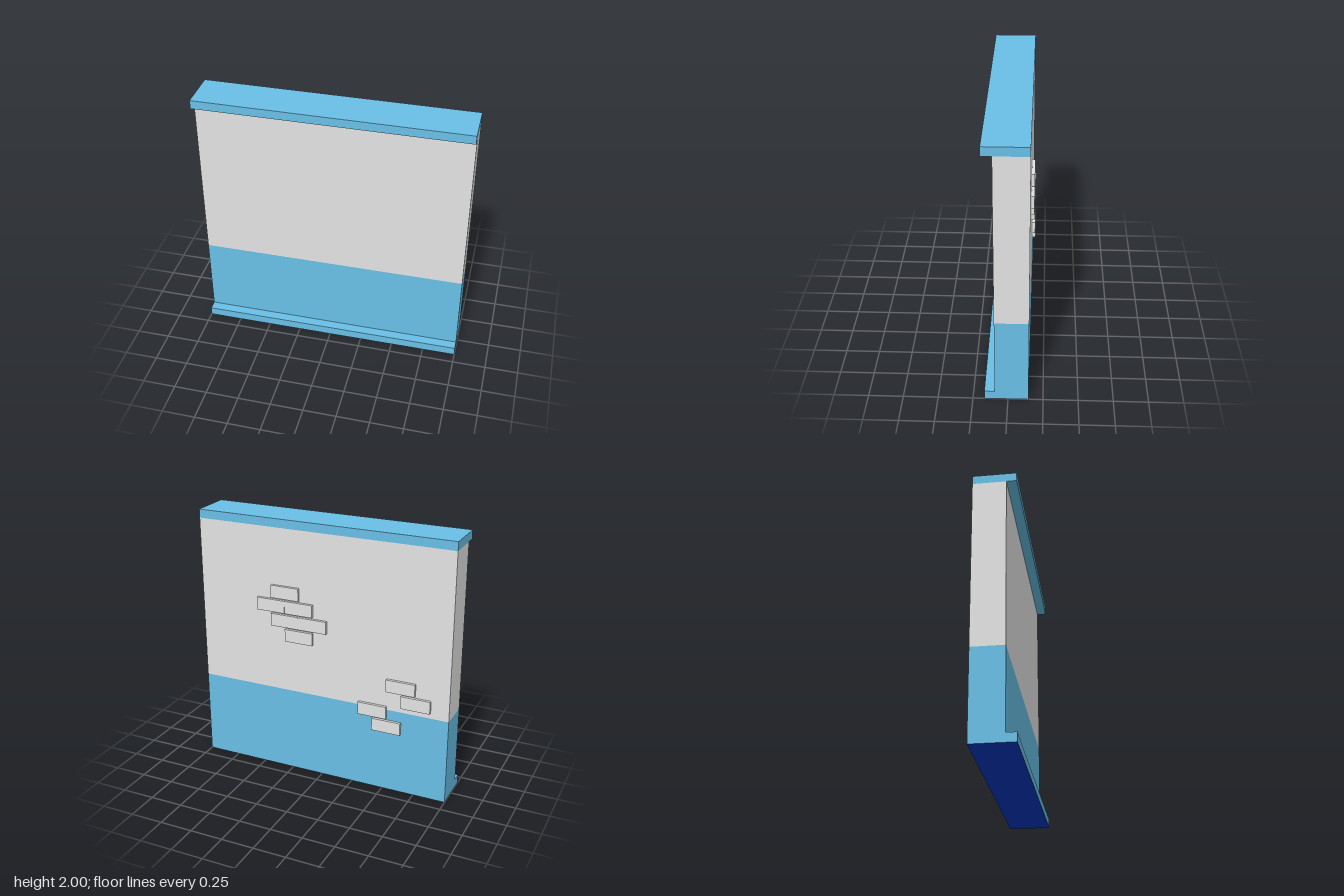
import * as THREE from 'three';

export function createModel() {
  const model = new THREE.Group();
  model.name = 'wallPanel';

  const paint = (name, color) => {
    const m = new THREE.MeshStandardMaterial({ color });
    m.name = name;
    return m;
  };
  const blue = paint('blue', 0x69bfe6);
  const grey = paint('grey', 0xe3e3e3);
  const navy = paint('navy', 0x0436be);

  // Box given by its extents along each axis
  const box = (name, material, [x0, x1], [y0, y1], [z0, z1], parent = model) => {
    const mesh = new THREE.Mesh(new THREE.BoxGeometry(x1 - x0, y1 - y0, z1 - z0), material);
    mesh.position.set((x0 + x1) / 2, (y0 + y1) / 2, (z0 + z1) / 2);
    mesh.name = name;
    parent.add(mesh);
  };

  const width = [-1, 1];
  const back = -0.146, face = 0.095, lip = 0.168;

  // Box material order is +x, -x, +y, -y, +z, -z: only the underside is navy
  const blueOnNavy = [blue, blue, blue, navy, blue, blue];

  // Wall: painted lower band and plain upper band
  box('lowerWall', blueOnNavy, width, [0, 0.665], [back, face]);
  box('upperWall', grey, width, [0.665, 1.935], [back, face]);

  // Trim: cap along the top and skirting along the foot
  box('topTrim', blue, width, [1.935, 2], [back, lip]);
  box('skirting', blueOnNavy, width, [0, 0.066], [face, lip]);

  // Exposed bricks on the back, each row listed from the top by brick centre x
  const brickPatches = [
    { name: 'upperBricks', top: 1.5, rows: [[0.293], [0.409, 0.182], [0.296, 0.07], [0.182]] },
    { name: 'lowerBricks', top: 0.914, rows: [[-0.631], [-0.75], [-0.412], [-0.526]] },
  ];
  const brickW = 0.224, brickH = 0.097, rowStep = 0.1105;
  for (const { name, top, rows } of brickPatches) {
    const patch = new THREE.Group();
    patch.name = name;
    rows.forEach((centres, row) => {
      const y = top - row * rowStep;
      for (const x of centres) {
        box('brick', grey, [x - brickW / 2, x + brickW / 2], [y - brickH, y], [-lip, back], patch);
      }
    });
    model.add(patch);
  }

  return model;
}
